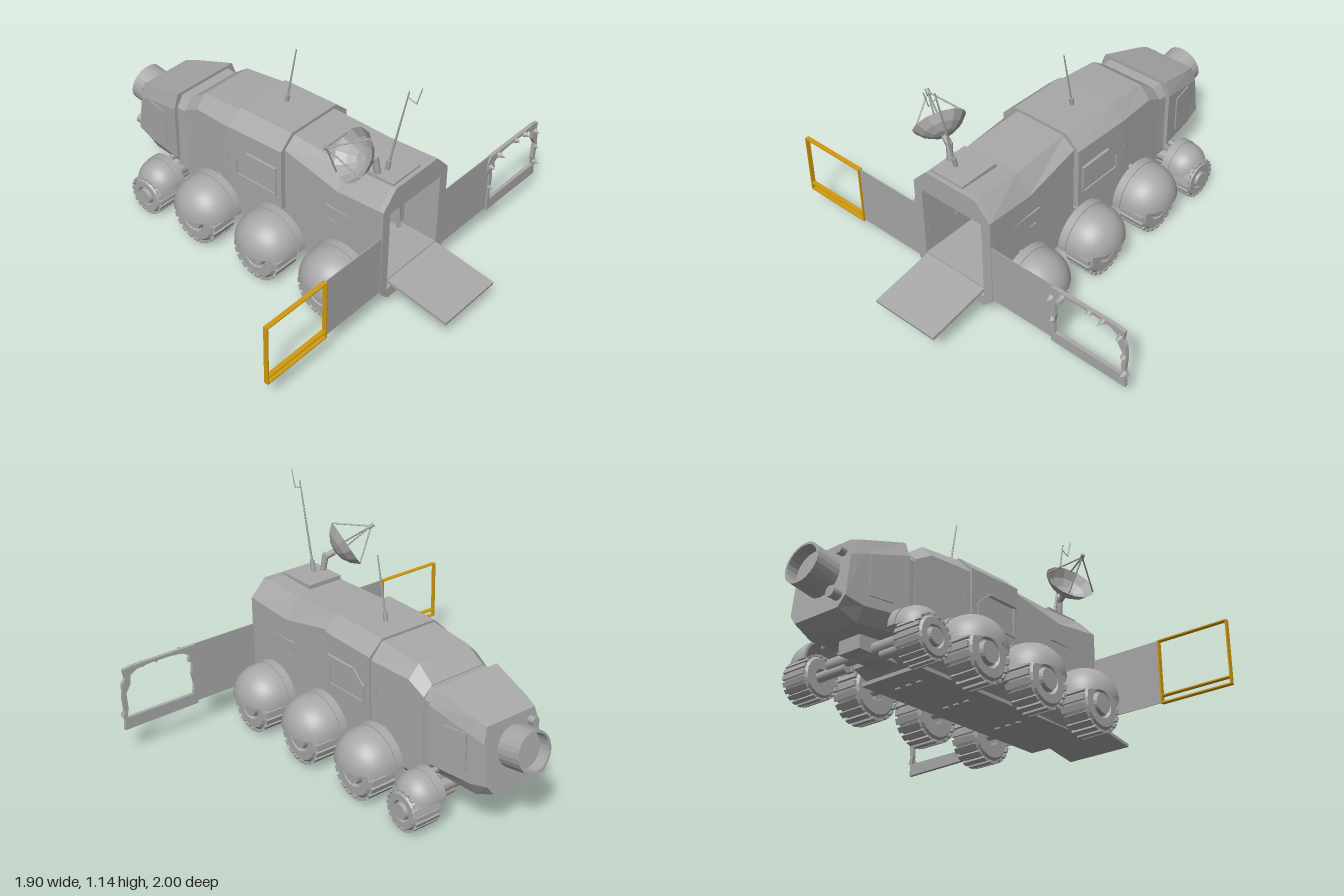
import * as THREE from 'three';

export function createModel() {
  const model = new THREE.Group();
  const g = new THREE.Group();
  g.name = 'rover';
  g.position.x = -0.016;
  model.add(g);
  const grey = new THREE.MeshStandardMaterial({ color: 0xa8a8a8, side: THREE.DoubleSide });
  grey.name = 'hull grey';
  const yellow = new THREE.MeshStandardMaterial({ color: 0xd09a10 });
  yellow.name = 'frame yellow';
  const V = (x, y, z) => new THREE.Vector3(x, y, z);

  function add(name, geo, parent = g, mat = grey) {
    const m = new THREE.Mesh(geo, mat);
    m.name = name;
    parent.add(m);
    return m;
  }
  // box from its min and max corners
  function box(name, x0, x1, y0, y1, z0, z1, parent = g, mat = grey) {
    const m = add(name, new THREE.BoxGeometry(x1 - x0, y1 - y0, z1 - z0), parent, mat);
    m.position.set((x0 + x1) / 2, (y0 + y1) / 2, (z0 + z1) / 2);
    return m;
  }
  function rod(name, a, b, r, r2 = r, sides = 8, parent = g) {
    const d = b.clone().sub(a);
    const m = add(name, new THREE.CylinderGeometry(r2, r, d.length(), sides), parent);
    m.position.copy(a).addScaledVector(d, 0.5);
    m.quaternion.setFromUnitVectors(V(0, 1, 0), d.normalize());
    return m;
  }
  // eight-cornered hull ring: half width, half roof width, heights of roof, shoulder, sill and belly
  function ring([z, w, wt, yt, ys, yk, yb, slant = 0]) {
    const half = [[w * 0.78, yb], [w, yk], [w, ys], [wt, yt]];
    const pts = [...half, ...half.slice().reverse().map(([x, y]) => [-x, y])];
    return pts.map(([x, y]) => V(x, y, z - slant * (yt - y)));
  }
  function loft(name, sections, capStart, capEnd) {
    const p = [];
    const tri = (...v) => v.forEach(q => p.push(q.x, q.y, q.z));
    const rings = sections.map(ring);
    for (let i = 0; i + 1 < rings.length; i++) {
      for (let j = 0; j < 8; j++) {
        const k = (j + 1) % 8, A = rings[i], B = rings[i + 1];
        tri(A[j], B[j], B[k]);
        tri(A[j], B[k], A[k]);
      }
    }
    const last = rings[rings.length - 1];
    for (let j = 1; j < 7; j++) {
      if (capStart) tri(rings[0][0], rings[0][j], rings[0][j + 1]);
      if (capEnd) tri(last[0], last[j + 1], last[j]);
    }
    const geo = new THREE.BufferGeometry();
    geo.setAttribute('position', new THREE.Float32BufferAttribute(p, 3));
    geo.computeVertexNormals();
    return add(name, geo);
  }
  const shape = pts => new THREE.Shape(pts.map(([x, y]) => new THREE.Vector2(x, y)));
  const path = pts => new THREE.Path(pts.map(([x, y]) => new THREE.Vector2(x, y)));
  const extrude = (s, depth) => new THREE.ExtrudeGeometry(s, { depth, bevelEnabled: false });

  // hull segments
  const rear = [0.68, 0.222, 0.142, 0.668, 0.585, 0.14, 0.09];
  loft('rearHull', [rear, [0.42, 0.21, 0.142, 0.656, 0.56, 0.14, 0.09],
    [0.1, 0.195, 0.135, 0.67, 0.62, 0.14, 0.09]], false, false);
  loft('middleHull', [[0.11, 0.222, 0.15, 0.685, 0.62, 0.15, 0.1],
    [-0.2, 0.222, 0.15, 0.68, 0.61, 0.15, 0.1]], true, true);
  loft('forwardHull', [[-0.2, 0.212, 0.15, 0.668, 0.595, 0.15, 0.1],
    [-0.43, 0.197, 0.14, 0.65, 0.59, 0.15, 0.1], [-0.52, 0.19, 0.145, 0.585, 0.54, 0.18, 0.14]], true, true);
  loft('neck', [[-0.51, 0.187, 0.15, 0.58, 0.53, 0.2, 0.17],
    [-0.58, 0.187, 0.15, 0.585, 0.53, 0.2, 0.17]], false, false);
  loft('nose', [[-0.572, 0.207, 0.18, 0.6, 0.53, 0.25, 0.19], [-0.79, 0.17, 0.15, 0.54, 0.47, 0.24, 0.175],
    [-0.845, 0.157, 0.138, 0.522, 0.45, 0.26, 0.215, 0.137]], true, true);

  // rear doorway frame and interior
  const frame = shape(ring(rear).map(v => [v.x, v.y]));
  frame.holes.push(path([[-0.175, 0.14], [-0.175, 0.555], [0.172, 0.555], [0.172, 0.14]]));
  add('doorFrame', extrude(frame, 0.025)).position.z = 0.656;
  box('cabinFloor', -0.175, 0.172, 0.185, 0.195, 0.11, 0.68);
  box('cabinCeiling', -0.175, 0.172, 0.555, 0.56, 0.11, 0.66);
  for (const s of [-1, 1]) box('cabinWall', s * 0.177 - 0.003, s * 0.177 + 0.003, 0.19, 0.555, 0.11, 0.66);
  box('cabinConsole', 0.12, 0.172, 0.22, 0.47, 0.2, 0.5);
  for (const z of [0.25, 0.5]) rod('cabinPost', V(0.135, 0.2, z), V(0.12, 0.5, z), 0.009);
  box('cabinLocker', -0.172, -0.135, 0.47, 0.54, 0.3, 0.6);

  // loading ramp and belly plate
  const ramp = box('ramp', -0.172, 0.174, 0.147, 0.162, 0.675, 1.0);
  ramp.rotation.x = 0.17;
  box('bellyPlate', -0.165, 0.165, 0.083, 0.1, -0.46, 0.68);
  for (const z of [0.3, -0.05, -0.35]) for (const x of [-0.06, 0, 0.06])
    box('bellyBolt', x - 0.012, x + 0.012, 0.076, 0.084, z - 0.006, z + 0.006);
  rod('frontCrossbeam', V(-0.2, 0.14, -0.61), V(0.2, 0.14, -0.61), 0.03);
  box('frontChassis', -0.06, 0.06, 0.12, 0.2, -0.7, -0.44);

  // open intake tube and lamp on the nose
  const intake = new THREE.Group();
  intake.name = 'intake';
  intake.position.set(-0.007, 0.385, -0.83);
  intake.rotation.x = -Math.PI / 2 + 0.17;
  g.add(intake);
  add('intakeTube', new THREE.LatheGeometry([[0.095, -0.04], [0.095, 0.155], [0.084, 0.155], [0.084, 0.1]]
    .map(([x, y]) => new THREE.Vector2(x, y)), 24).toNonIndexed(), intake).geometry.computeVertexNormals();
  const back = add('intakeBack', new THREE.CircleGeometry(0.085, 24), intake);
  back.rotation.x = -Math.PI / 2;
  back.position.y = 0.1;
  rod('noseLamp', V(-0.115, 0.265, -0.82), V(-0.115, 0.275, -0.925), 0.025, 0.025, 12);
  rod('noseSensor', V(-0.11, 0.47, -0.8), V(-0.11, 0.475, -0.885), 0.02, 0.02, 10);

  // wheel on the +x side, with tread blocks, hub and domed guard
  function wheelUnit(side, z, y, r, guardY, guardR, guardDepth, guardH) {
    const w = new THREE.Group();
    w.name = 'wheelUnit';
    const tyre = new THREE.LatheGeometry([[0.35, -0.07], [0.8, -0.07], [0.93, -0.05], [0.93, 0.05],
      [0.8, 0.07], [0.5, 0.07], [0.45, 0.055], [0.4, 0.055], [0.36, 0.078], [0, 0.078]]
      .map(([a, b]) => new THREE.Vector2(a * r, b)), 20).toNonIndexed();
    tyre.computeVertexNormals();
    tyre.rotateZ(-Math.PI / 2);
    add('tyre', tyre, w).position.set(0.32, y, z);
    for (let i = 0; i < 20; i++) {
      const a = i * Math.PI / 10;
      const t = add('tread', new THREE.BoxGeometry(0.13, r * 0.1, r * 0.2), w);
      t.position.set(0.32, y + Math.cos(a) * r * 0.94, z + Math.sin(a) * r * 0.94);
      t.rotation.x = a;
    }
    rod('axle', V(0.1, y, z), V(0.27, y, z), 0.022, 0.022, 8, w);
    rod('guardArm', V(0.17, guardY + guardH * 0.75, z), V(0.25, guardY + guardH * 0.75, z), 0.014, 0.014, 8, w);
    // dome: quarter ball, made fuller towards the outside
    const dome = new THREE.SphereGeometry(1, 24, 12, Math.PI / 2, Math.PI, 0, Math.PI / 2);
    const p = dome.attributes.position;
    for (let i = 0; i < p.count; i++)
      p.setXYZ(i, Math.pow(Math.max(0, p.getX(i)), 0.8) * guardDepth, p.getY(i) * guardH * 0.97, p.getZ(i) * guardR * 0.96);
    dome.computeVertexNormals();
    add('guardDome', dome, w).position.set(0.275, guardY, z);
    // raised rim band
    const rim = new THREE.Shape();
    rim.absellipse(0, 0, guardR, guardH, 0, Math.PI, false);
    rim.lineTo(-guardR * 0.9, 0);
    rim.absellipse(0, 0, guardR * 0.9, guardH * 0.9, Math.PI, 0, true);
    const band = add('guardRim', extrude(rim, 0.04), w);
    band.rotation.y = Math.PI / 2;
    band.position.set(0.237, guardY, z);
    w.scale.x = side;
    g.add(w);
  }
  for (const side of [-1, 1]) {
    for (const z of [0.485, 0.1, -0.287]) wheelUnit(side, z, 0.14, 0.134, 0.175, 0.165, 0.17, 0.153);
    wheelUnit(side, -0.61, 0.105, 0.1, 0.152, 0.115, 0.115, 0.11);

    // flank details: hatch window, seams, nose panel
    const s = new THREE.Group();
    s.name = 'flankDetails';
    s.scale.x = side;
    g.add(s);
    const win = shape([[-0.083, 0.37], [0.165, 0.37], [0.165, 0.455], [0.095, 0.52], [-0.083, 0.52]]);
    win.holes.push(path([[-0.073, 0.38], [-0.073, 0.51], [0.09, 0.51], [0.155, 0.45], [0.155, 0.38]]));
    const wm = add('hatchWindow', extrude(win, 0.009), s);
    wm.rotation.y = Math.PI / 2;
    wm.position.x = 0.22;
    box('windowHood', 0.218, 0.236, 0.512, 0.522, -0.09, 0.085, s);
    box('doorHandle', 0.2, 0.212, 0.43, 0.48, -0.235, -0.228, s);
    box('sideSeam', 0.205, 0.216, 0.458, 0.463, 0.36, 0.59, s);
    box('sideSeam', 0.2, 0.213, 0.385, 0.39, 0.38, 0.42, s);
    const panel = box('nosePanel', 0.18, 0.188, 0.29, 0.47, -0.77, -0.65, s);
    panel.rotation.y = 0.168;
    panel.position.x = 0.185;
  }

  // roof plate and whip antennas
  box('roofPlate', -0.135, 0.05, 0.655, 0.678, 0.45, 0.66);
  rod('rearAntennaBase', V(-0.069, 0.66, 0.57), V(-0.069, 0.73, 0.585), 0.011);
  rod('rearAntenna', V(-0.069, 0.67, 0.573), V(-0.069, 1.11, 0.667), 0.006, 0.003);
  rod('antennaFork', V(-0.069, 1.08, 0.66), V(-0.069, 1.065, 0.705), 0.0025);
  rod('antennaTip', V(-0.069, 1.065, 0.705), V(-0.069, 1.15, 0.73), 0.0025);
  rod('roofAntennaBase', V(0.026, 0.67, -0.08), V(0.026, 0.72, -0.07), 0.01);
  rod('roofAntenna', V(0.026, 0.68, -0.078), V(0.026, 0.978, -0.02), 0.005, 0.003);

  // dish on its mount, aimed up and outwards
  const dish = new THREE.Group();
  dish.name = 'dish';
  dish.position.set(-0.165, 0.765, 0.535);
  dish.quaternion.setFromUnitVectors(V(0, 1, 0), V(-0.78, 0.52, -0.35).normalize());
  g.add(dish);
  const bowl = new THREE.LatheGeometry([[0, 0], [0.05, 0.01], [0.09, 0.033], [0.122, 0.07]]
    .map(([x, y]) => new THREE.Vector2(x, y)), 12).toNonIndexed();
  bowl.computeVertexNormals();
  add('dishBowl', bowl, dish);
  for (let i = 0; i < 4; i++) {
    const a = (i + 0.5) * Math.PI / 2;
    rod('feedStrut', V(Math.cos(a) * 0.118, 0.068, Math.sin(a) * 0.118), V(0, 0.215, 0), 0.004, 0.004, 6, dish);
  }
  rod('feed', V(0, 0.2, 0), V(0, 0.23, 0), 0.01, 0.01, 8, dish);
  rod('dishArm', V(-0.165, 0.765, 0.535), V(-0.122, 0.745, 0.55), 0.016);
  rod('dishPost', V(-0.115, 0.67, 0.56), V(-0.125, 0.76, 0.55), 0.015);

  // fold-out side panels
  box('rightPanel', -0.585, -0.19, 0.15, 0.45, 0.674, 0.678);
  box('leftPanel', 0.18, 0.56, 0.15, 0.45, 0.674, 0.678);
  for (const y of [0.145, 0.178, 0.443]) box('yellowRail', -0.94, -0.58, y, y + 0.006, 0.665, 0.687, g, yellow);
  for (const x of [-0.94, -0.586]) box('yellowPost', x, x + 0.006, 0.145, 0.449, 0.665, 0.687, g, yellow);

  // torn frame at the end of the left panel
  const torn = shape([[0.56, 0.14], [0.955, 0.135], [0.95, 0.19], [0.962, 0.2], [0.95, 0.23], [0.955, 0.3],
    [0.95, 0.37], [0.935, 0.395], [0.942, 0.44], [0.9, 0.447], [0.56, 0.447], [0.545, 0.42], [0.545, 0.37], [0.56, 0.35]]);
  torn.holes.push(path([[0.58, 0.195], [0.574, 0.25], [0.584, 0.3], [0.576, 0.36], [0.6, 0.37], [0.59, 0.4],
    [0.63, 0.425], [0.7, 0.432], [0.8, 0.432], [0.87, 0.425], [0.905, 0.405], [0.91, 0.36], [0.935, 0.32],
    [0.93, 0.24], [0.94, 0.195]]));
  add('tornFrame', extrude(torn, 0.018)).position.z = 0.668;
  [[0.56, 0.39, 0.03], [0.62, 0.428, 0.045], [0.565, 0.27, 0.02], [0.76, 0.432, 0.025], [0.83, 0.43, 0.04],
    [0.92, 0.4, 0.03], [0.94, 0.3, 0.02], [0.945, 0.21, 0.03]].forEach(([x, y, d]) => {
    const shard = add('tornShard', new THREE.ConeGeometry(0.017, d, 5));
    shard.rotation.x = Math.PI / 2;
    shard.position.set(x, y, 0.684 + d / 2);
  });
  return model;
}
